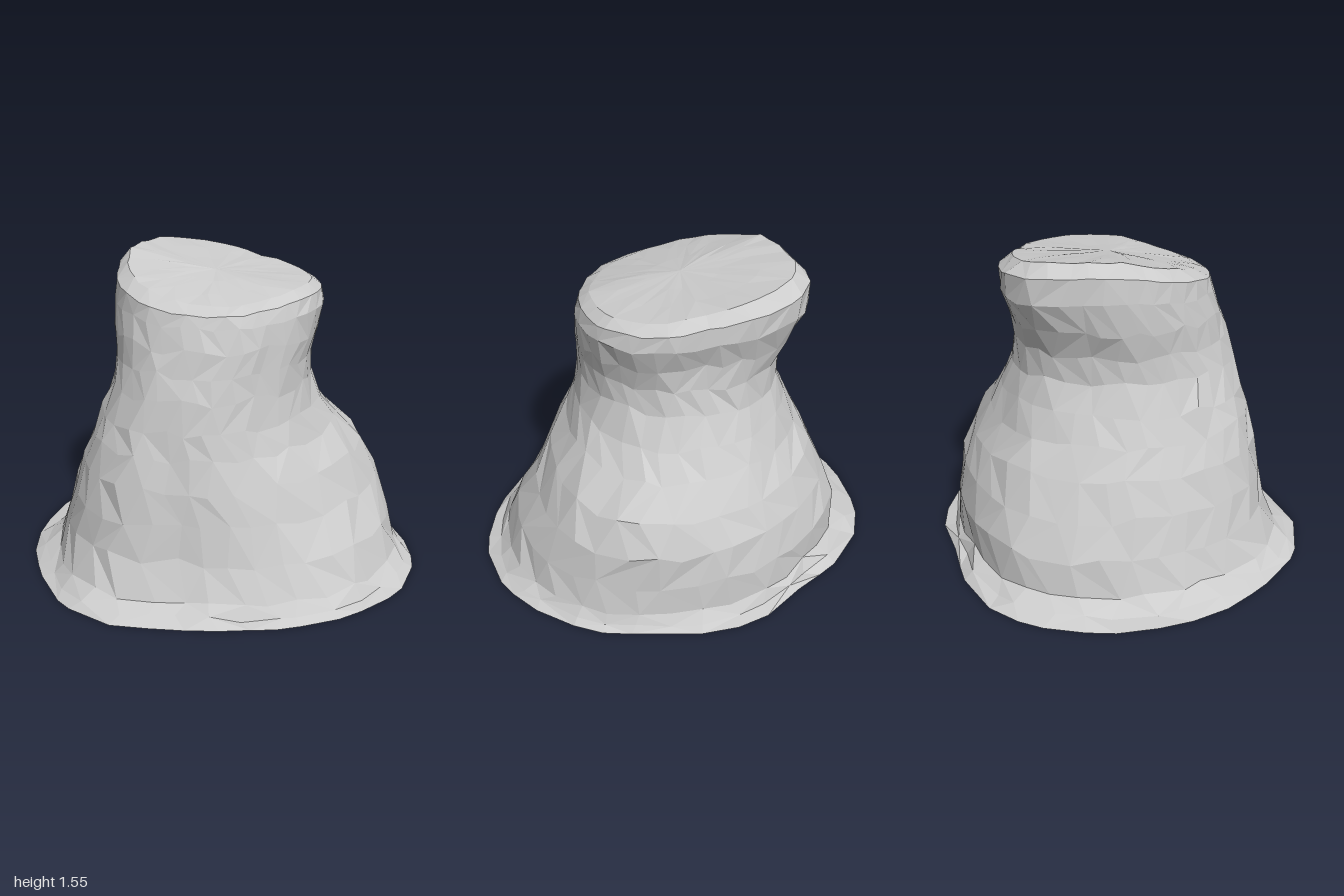
import * as THREE from 'three';

const SEGMENTS = 36;

// Outlines seen from above, as [x, z] corners running round the shape
const brimOutline = [[0, -.93], [.2, -.9], [.4, -.8], [.6, -.72], [.85, -.47], [.96, -.25], [1, -.1], [.9, .25], [.7, .5], [.4, .7],
  [.1, .82], [-.2, .92], [-.5, .82], [-.72, .63], [-.9, .42], [-.98, .2], [-1, -.3], [-.9, -.55], [-.7, -.72], [-.4, -.82], [-.2, -.91]];
const footOutline = [[0, -.84], [.4, -.75], [.7, -.55], [.85, -.3], [.87, 0], [.77, .3], [.5, .56], [.1, .7], [-.2, .8],
  [-.5, .7], [-.75, .4], [-.85, .1], [-.87, -.2], [-.75, -.5], [-.4, -.74]];
const topOutline = [[0, -.54], [.22, -.5], [.41, -.3], [.44, -.1], [.34, .18], [.18, .36], [-.15, .42], [-.35, .33],
  [-.52, .1], [-.58, -.2], [-.55, -.42], [-.45, -.52]];

function seeded(seed) {
  return () => {
    seed = (seed * 16807) % 2147483647;
    return seed / 2147483647 - 0.5;
  };
}

// Turns an outline into a function angle -> point inside the box -1..1
function unitOutline(points) {
  const xs = points.map((p) => p[0]), zs = points.map((p) => p[1]);
  const x0 = Math.min(...xs), x1 = Math.max(...xs), z0 = Math.min(...zs), z1 = Math.max(...zs);
  const polar = points.map(([x, z]) => {
    const u = (2 * x - x0 - x1) / (x1 - x0), v = (2 * z - z0 - z1) / (z1 - z0);
    return { a: (Math.atan2(v, u) + 2 * Math.PI) % (2 * Math.PI), r: Math.hypot(u, v) };
  }).sort((p, q) => p.a - q.a);
  const last = polar[polar.length - 1], first = polar[0];
  polar.unshift({ a: last.a - 2 * Math.PI, r: last.r });
  polar.push({ a: first.a + 2 * Math.PI, r: first.r });
  return (angle) => {
    const a = ((angle % (2 * Math.PI)) + 2 * Math.PI) % (2 * Math.PI);
    const i = Math.max(1, polar.findIndex((p) => p.a >= a));
    const p = polar[i - 1], q = polar[i];
    const r = THREE.MathUtils.lerp(p.r, q.r, (a - p.a) / (q.a - p.a));
    return [r * Math.cos(a), r * Math.sin(a)];
  };
}

const brim = unitOutline(brimOutline), foot = unitOutline(footOutline), top = unitOutline(topOutline);

// The cut falls to the right, and drops towards the front
const cutSlope = (x, z) => -(x < 0 ? .15 : .12) * x - .22 * Math.max(0, z);

// One ring: height y, extents, outline blend, swelling of the two back corners, tilt and roughness
function makeRing({ y, box: [x0, x1, z0, z1], from = foot, to = top, mix = 0, backRight = 0, backLeft = 0,
  tilt = 0, rough = .003, wave = .04, shift = 0 }, random) {
  const ring = [];
  for (let i = 0; i < SEGMENTS; i++) {
    const a = ((i + shift + random() * .5) / SEGMENTS) * Math.PI * 2;
    const p = from(a), q = to(a);
    const u = THREE.MathUtils.lerp(p[0], q[0], mix), v = THREE.MathUtils.lerp(p[1], q[1], mix);
    const pushRight = backRight * Math.max(0, Math.cos(a + Math.PI / 4)) ** 4 * Math.SQRT1_2;
    const pushLeft = backLeft * Math.max(0, Math.cos(a + Math.PI * .75)) ** 4 * Math.SQRT1_2;
    const x = (x0 + x1) / 2 + u * (x1 - x0) / 2 + pushRight - pushLeft + random() * rough * 2;
    const z = (z0 + z1) / 2 + v * (z1 - z0) / 2 - pushRight - pushLeft + random() * rough * 2;
    ring.push([x, Math.max(.008, y + tilt * cutSlope(x, z) + random() * wave), z]);
  }
  return ring;
}

// Skins neighbouring rings with alternating diagonals; a centre point closes the last ring
function skin(rings, centre) {
  const positions = rings.flat(2);
  const index = [];
  for (let r = 0; r < rings.length - 1; r++) {
    for (let i = 0; i < SEGMENTS; i++) {
      const j = (i + 1) % SEGMENTS;
      const a = r * SEGMENTS + i, b = r * SEGMENTS + j, c = a + SEGMENTS, d = b + SEGMENTS;
      if ((i + r) % 2) index.push(a, c, b, b, c, d);
      else index.push(a, c, d, a, d, b);
    }
  }
  if (centre) {
    const start = (rings.length - 1) * SEGMENTS;
    positions.push(...centre);
    for (let i = 0; i < SEGMENTS; i++) {
      index.push(start + i, rings.length * SEGMENTS, start + (i + 1) % SEGMENTS);
    }
  }
  const geometry = new THREE.BufferGeometry();
  geometry.setAttribute('position', new THREE.Float32BufferAttribute(positions, 3));
  geometry.setIndex(index);
  geometry.computeVertexNormals();
  return geometry;
}

export function createModel() {
  const group = new THREE.Group();
  group.name = 'stump';
  const random = seeded(4711);
  const material = new THREE.MeshStandardMaterial({ color: 0xcccccc, flatShading: true, side: THREE.DoubleSide });

  const add = (name, geometry) => {
    const mesh = new THREE.Mesh(geometry, material);
    mesh.name = name;
    group.add(mesh);
  };

  // Trunk: broad foot, shoulder at one back corner, pinched waist, flared head
  const body = [
    { y: .085, box: [-.87, .87, -.845, .8], rough: .008, wave: .03 },
    { y: .25, box: [-.835, .815, -.84, .73], mix: .05 },
    { y: .42, box: [-.78, .695, -.8, .7], mix: .15, backRight: .07, backLeft: -.03 },
    { y: .58, box: [-.715, .6, -.73, .67], mix: .3, backRight: .085, backLeft: -.05 },
    { y: .72, box: [-.65, .505, -.645, .63], mix: .45, backRight: .04, backLeft: -.07 },
    { y: .84, box: [-.595, .455, -.585, .595], mix: .6, backLeft: -.075 },
    { y: .98, box: [-.54, .435, -.53, .55], mix: .75, backRight: -.04, backLeft: -.07 },
    { y: 1.1, box: [-.535, .435, -.505, .51], mix: .85, backRight: -.045, backLeft: -.06 },
    { y: 1.22, box: [-.565, .445, -.49, .475], mix: 1, backRight: -.02, backLeft: -.03, tilt: .2 },
    { y: 1.34, box: [-.58, .45, -.52, .44], mix: 1, tilt: .4, wave: .02 },
    { y: 1.43, box: [-.572, .43, -.52, .42], mix: 1, tilt: .75, wave: .012 },
  ].map((spec, i) => makeRing({ ...spec, shift: (i % 2) * .5 }, random));
  add('trunk', skin(body));

  // Sloping cut face with a rounded rim
  const cut = [
    { y: 1.472, box: [-.52, .38, -.465, .35], wave: .008 },
    { y: 1.47, box: [-.38, .25, -.34, .24], wave: .006 },
    { y: 1.465, box: [-.22, .1, -.2, .1], wave: .004 },
  ].map((spec) => makeRing({ ...spec, mix: 1, tilt: 1 }, random));
  add('cutFace', skin([body[body.length - 1], ...cut], [-.06, 1.472, -.05]));

  // Thin ragged brim spread over the ground
  const skirt = [
    makeRing({ y: .008, box: [-.997, 1, -.93, .93], from: brim, to: brim, wave: .006 }, random),
    makeRing({ y: .035, box: [-.935, .935, -.885, .865], from: brim, to: foot, mix: .5, rough: .012, wave: .03 }, random),
    body[0],
  ];
  add('brim', skin(skirt));

  return group;
}
